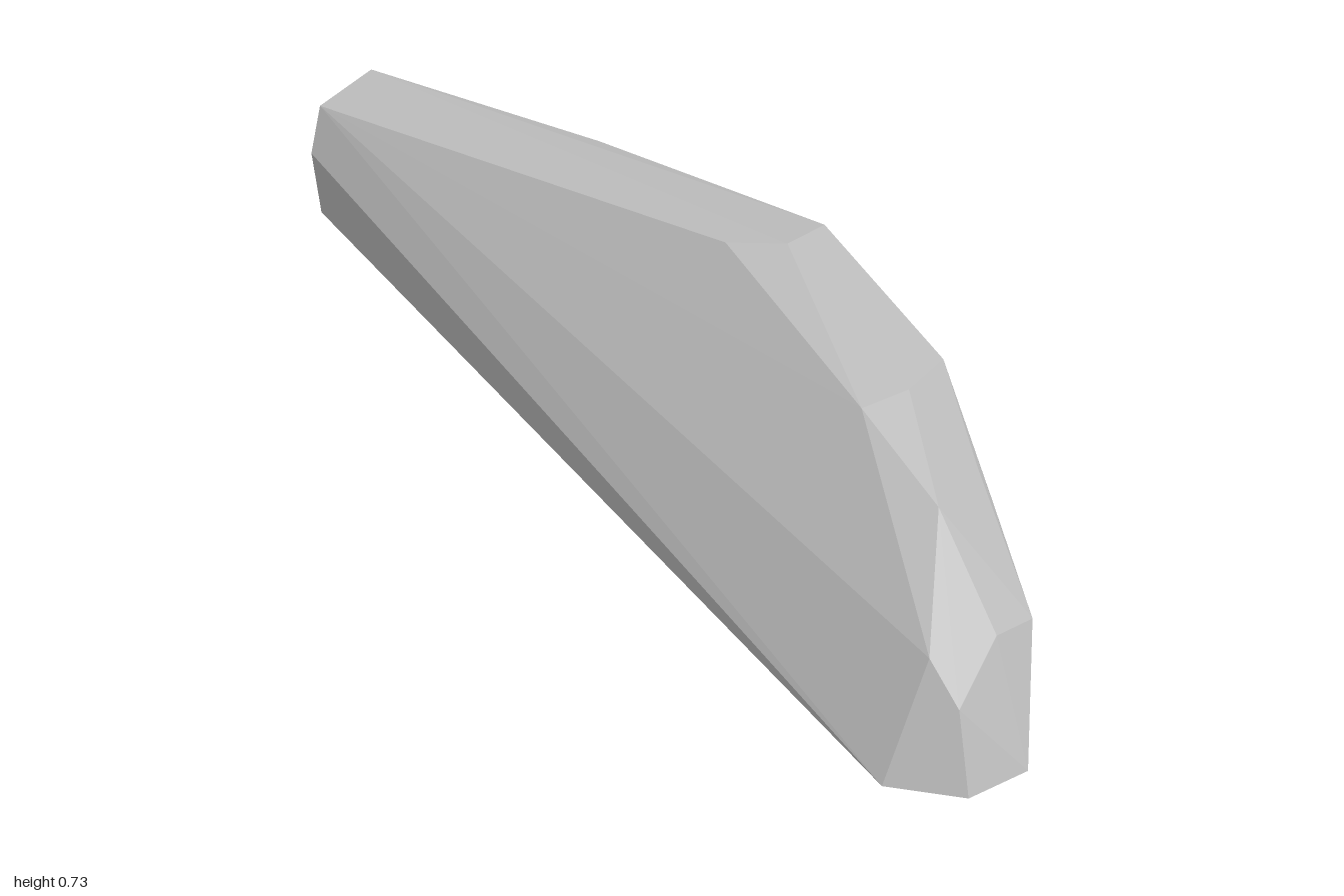
import * as THREE from 'three';
import { ConvexGeometry } from 'three/addons/geometries/ConvexGeometry.js';

export function createModel() {
  const group = new THREE.Group();
  group.name = 'facetedRock';

  const stoneGrey = new THREE.MeshStandardMaterial({ color: 0xbababa });
  stoneGrey.name = 'stoneGrey';

  // Flat end cap: outline as [y, z] at x = -1
  const endCap = [
    [0.73, -0.395], [0.70, -0.21], [0.60, -0.17], [0.45, -0.19],
    [0.34, -0.30], [0.445, -0.44], [0.605, -0.485],
  ].map(([y, z]) => [-1, y, z]);

  // Flat foot: outline as [x, z] at y = 0
  const foot = [
    [0.80, 0.485], [0.945, 0.435], [1.0, 0.305], [0.90, 0.17], [0.77, 0.115],
  ].map(([x, z]) => [x, 0, z]);

  // Ridges running from the end cap over the shoulder down to the foot
  const frontRidge = [[0.15, 0.70, -0.045], [0.55, 0.53, 0.135], [0.83, 0.225, 0.385]];
  const outerRidge = [[0.265, 0.71, -0.085], [0.61, 0.555, 0.065], [0.75, 0.42, 0.21], [0.90, 0.15, 0.40]];
  const topRidge = [[-0.37, 0.69, -0.385], [0.265, 0.695, -0.235], [0.60, 0.545, -0.10], [0.745, 0.415, 0.035], [0.905, 0.235, 0.27]];
  const backRidge = [[-0.17, 0.53, -0.40], [0.465, 0.50, -0.235], [0.75, 0.335, -0.02], [0.93, 0.225, 0.17]];

  // One faceted convex body spanning all the outlines
  const points = [endCap, foot, frontRidge, outerRidge, topRidge, backRidge]
    .flat()
    .map((p) => new THREE.Vector3(...p));
  const rock = new THREE.Mesh(new ConvexGeometry(points), stoneGrey);
  rock.name = 'rockBody';
  group.add(rock);

  return group;
}
